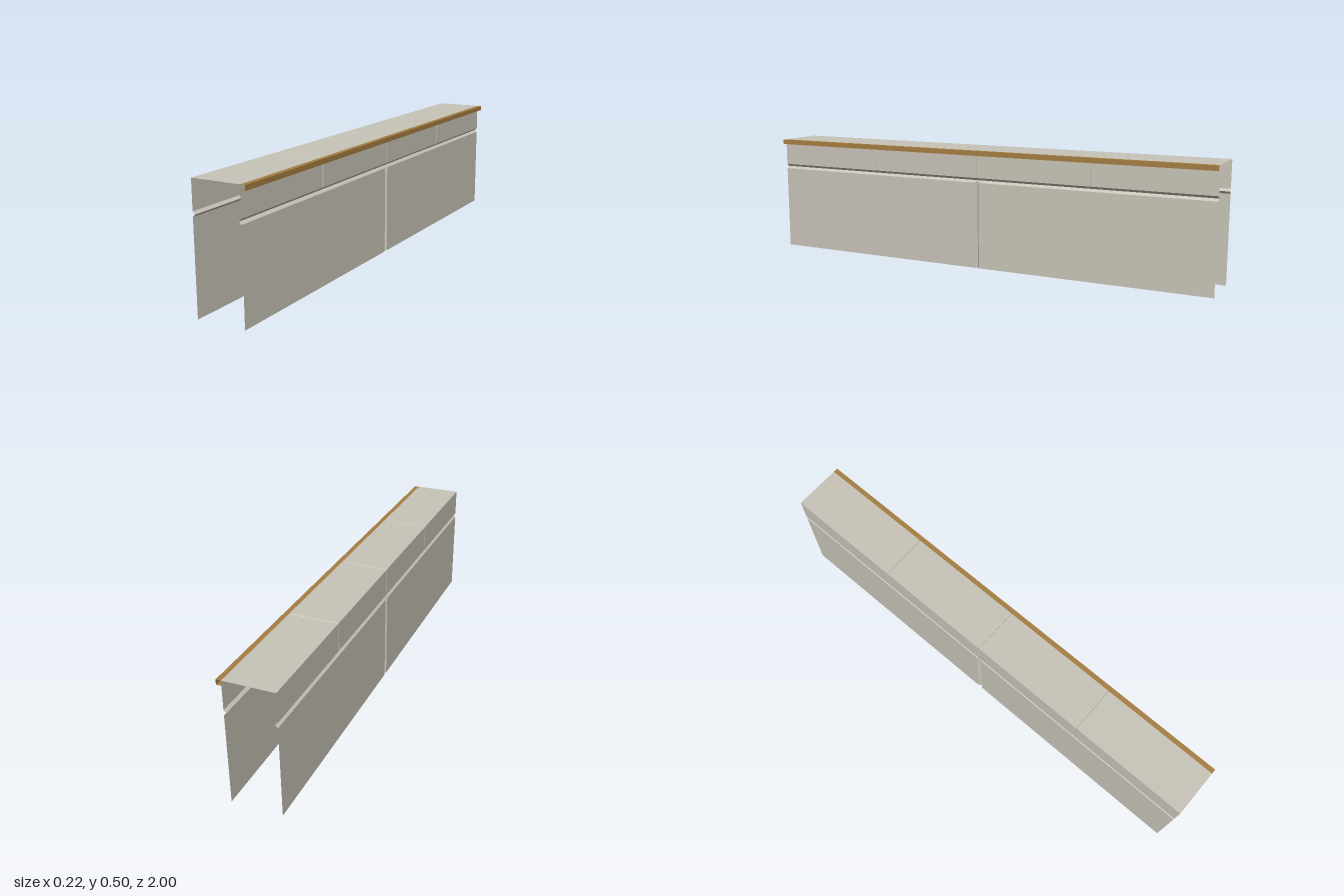
import * as THREE from 'three';

const CENTER_X = -0.01; // the shell sits slightly off centre, leaving room for the rail
const HALF_WIDTH = 0.1;
const GROOVE = 0.01; // half width and depth of the large V grooves
const SEAM = 0.003; // half width of the fine seams
const SEAM_DEPTH = 0.002;

// Lofts an open sheet through profiles [[x, y], ...] placed at z; facets stay flat
function loft(sections, side = 1) {
  const positions = [];
  for (let j = 0; j < sections.length - 1; j++) {
    const s = sections[j], t = sections[j + 1];
    const turn = (s.z >= 0) !== (side < 0);
    for (let i = 0; i < s.points.length - 1; i++) {
      const a = [...s.points[i], s.z], b = [...s.points[i + 1], s.z];
      const c = [...t.points[i + 1], t.z], d = [...t.points[i], t.z];
      const corners = turn ? [a, b, d, b, c, d] : [a, b, c, a, c, d];
      positions.push(...corners.flat());
    }
  }
  const geometry = new THREE.BufferGeometry();
  geometry.setAttribute('position', new THREE.Float32BufferAttribute(positions, 3));
  geometry.computeVertexNormals();
  return geometry;
}

// Side wall below the long groove, with a vertical V groove at mid length
function lowerWall(side) {
  const sections = [-1, -GROOVE, 0, GROOVE, 1].map((z) => {
    const outer = CENTER_X + side * (HALF_WIDTH - (z === 0 ? GROOVE : 0));
    const inner = CENTER_X + side * (HALF_WIDTH - GROOVE);
    const points = [[outer, 0], [outer, 0.365], [inner, 0.375]];
    return { z, points: side > 0 ? points : points.reverse() };
  });
  return loft(sections, side);
}

// Upper sides and top in one sheet, crossed by three fine seams
function upperCover() {
  const sections = [];
  const add = (z, depth) => {
    const o = HALF_WIDTH - depth, n = HALF_WIDTH - GROOVE, top = 0.5 - depth;
    const half = [[n, 0.375], [o, 0.385], [o, top]];
    const mirrored = half.map(([x, y]) => [-x, y]).reverse();
    sections.push({ z, points: [...half, ...mirrored].map(([x, y]) => [CENTER_X + x, y]) });
  };
  add(-1, 0);
  for (const z of [-0.5, 0, 0.5]) {
    add(z - SEAM, 0);
    add(z, SEAM_DEPTH);
    add(z + SEAM, 0);
  }
  add(1, 0);
  return loft(sections);
}

export function createModel() {
  const model = new THREE.Group();
  model.name = 'wallSection';

  const stone = new THREE.MeshStandardMaterial({ color: 0xc8c4b8, side: THREE.DoubleSide });
  stone.name = 'pale stone';
  const wood = new THREE.MeshStandardMaterial({ color: 0xa67e42, side: THREE.DoubleSide });
  wood.name = 'warm brown';

  const add = (name, geometry, material) => {
    const mesh = new THREE.Mesh(geometry, material);
    mesh.name = name;
    model.add(mesh);
  };

  add('leftLowerWall', lowerWall(1), stone);
  add('rightLowerWall', lowerWall(-1), stone);
  add('upperCover', upperCover(), stone);

  // Open-ended rail along the left top edge
  const rail = [[0.09, 0.48], [0.11, 0.48], [0.11, 0.5], [0.09, 0.5]];
  add('edgeRail', loft([{ z: -1, points: rail }, { z: 1, points: rail }]), wood);

  return model;
}
